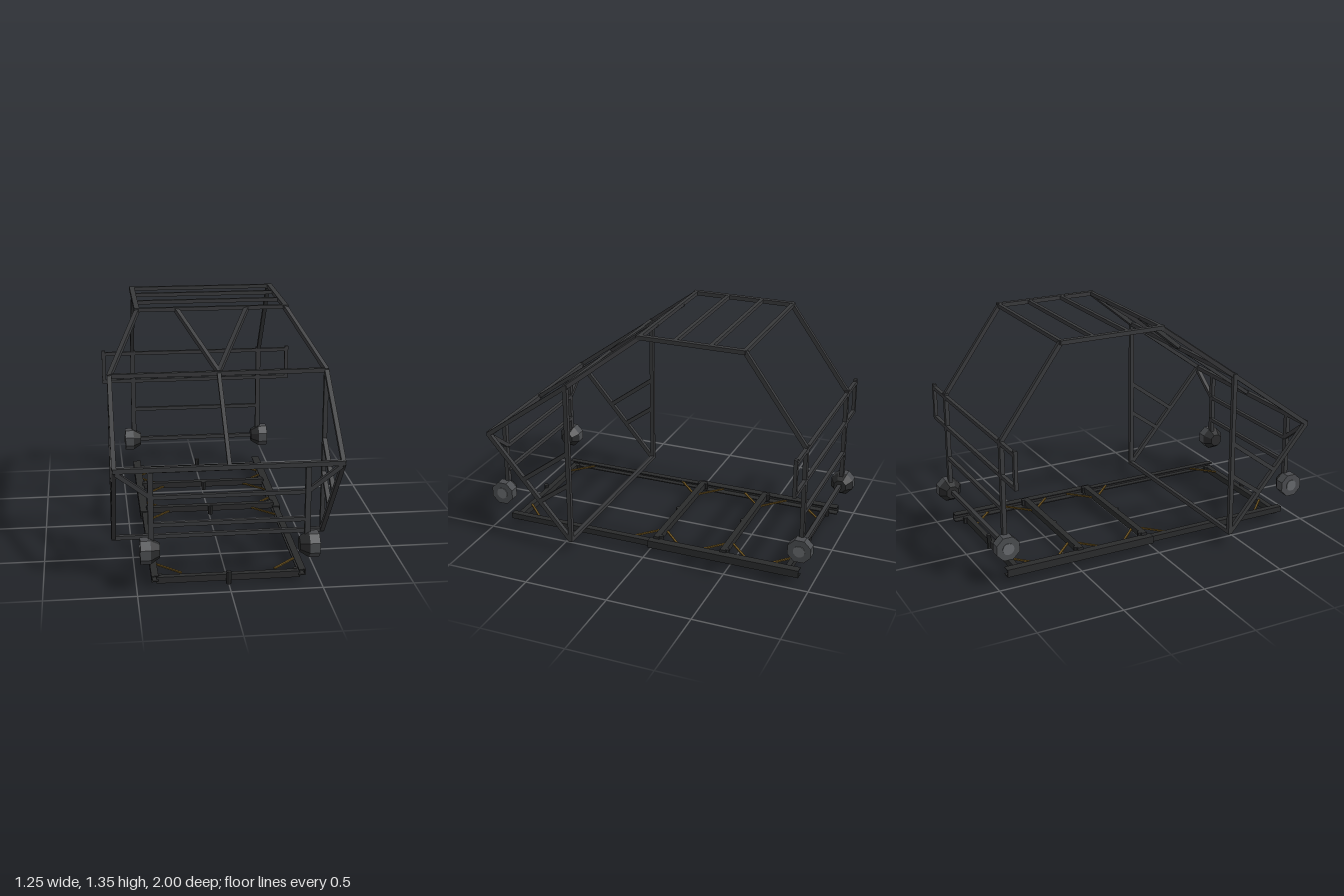
import * as THREE from 'three';

const mat = (name, color, side = THREE.FrontSide) => {
  const m = new THREE.MeshStandardMaterial({ color, flatShading: true, side });
  m.name = name;
  return m;
};

export function createModel() {
  const model = new THREE.Group();
  const tubeMat = mat('dark steel tube', 0x38393b);
  const baseMat = mat('black chassis steel', 0x2a2b2c);
  const hubMat = mat('grey hub', 0x4a4c4f);
  const capMat = mat('light hub cap', 0x66696c);
  const goldMat = mat('bronze brace', 0x6b5220);

  const group = (name) => {
    const g = new THREE.Group();
    g.name = name;
    model.add(g);
    return g;
  };

  // Square bar running between two points
  function bar(parent, name, a, b, w = 0.025, h = w, m = tubeMat) {
    const p = new THREE.Vector3(...a), q = new THREE.Vector3(...b);
    const mesh = new THREE.Mesh(new THREE.BoxGeometry(w, h, p.distanceTo(q)), m);
    mesh.position.copy(p).add(q).multiplyScalar(0.5);
    mesh.lookAt(q);
    mesh.name = name;
    parent.add(mesh);
  }
  const cross = (parent, name, x, y, z, w = 0.024, h = w, m = tubeMat) =>
    bar(parent, name, [-x, y, z], [x, y, z], w, h, m);

  const cage = group('cage');
  const bumper = group('rearBumper');
  const legs = group('wheelLegs');
  const hubs = group('hubs');
  const chassis = group('chassis');

  for (const s of [-1, 1]) {
    // Main hoop, windscreen pillars and nose
    const X = s * 0.607, R = s * 0.428;
    bar(cage, 'sidePost', [X, 0.078, 0.41], [X, 1.06, 0.41]);
    bar(cage, 'windscreenPillar', [X, 1.05, 0.41], [R, 1.335, 0.035]);
    bar(cage, 'noseRail', [X, 1.05, 0.41], [X, 0.68, 0.92]);
    bar(cage, 'lowerNoseRail', [X, 0.68, 0.92], [X, 0.085, 0.41]);
    bar(cage, 'upperSideBrace', [X, 0.645, 0.41], [X, 0.43, 0.70]);
    bar(cage, 'lowerSideBrace', [X, 0.445, 0.41], [X, 0.31, 0.595]);
    bar(cage, 'windscreenBrace', [s * 0.207, 1.335, 0.03], [0, 1.055, 0.405]);
    // Roof rails and sloping rear pillars
    bar(cage, 'roofRail', [s * 0.432, 1.335, 0.05], [s * 0.432, 1.335, -0.58], 0.03, 0.024);
    bar(cage, 'rearPillar', [s * 0.424, 1.335, -0.572], [s * 0.424, 0.84, -0.93], 0.024);
    // Legs carrying the hubs
    bar(legs, 'frontLeg', [s * 0.42, 0.22, 0.92], [s * 0.42, 0.665, 0.92], 0.03, 0.024);
    bar(legs, 'rearLeg', [s * 0.42, 0.22, -0.93], [s * 0.42, 0.85, -0.93], 0.03, 0.024);
    bar(legs, 'noseGusset', [s * 0.42, 0.528, 0.915], [s * 0.6, 0.665, 0.915], 0.024);
    bar(bumper, 'bumperEnd', [s * 0.612, 0.628, -0.932], [s * 0.612, 0.85, -0.932], 0.024, 0.02);

    // Octagonal hubs with tapered inner ends
    for (const z of [0.932, -0.932]) {
      const hub = new THREE.Group();
      hub.name = 'hub';
      hub.position.set(0, 0.23, z);
      const part = (name, rOut, rIn, x0, x1, n, m) => {
        const g = new THREE.CylinderGeometry(rOut, rIn, x1 - x0, n, 1, false, Math.PI / 8);
        const mesh = new THREE.Mesh(g, m);
        mesh.rotation.z = -s * Math.PI / 2;
        mesh.position.x = s * (x0 + x1) / 2;
        mesh.name = name;
        hub.add(mesh);
      };
      part('hubDrum', 0.0725, 0.0725, 0.425, 0.48, 8, hubMat);
      part('hubTaper', 0.0725, 0.04, 0.375, 0.425, 8, baseMat);
      part('hubCap', 0.034, 0.034, 0.48, 0.484, 12, capMat);
      hubs.add(hub);
    }

    // Chassis rails: inward-facing channels, deeper at the rear
    for (const [z0, z1, y0, y1, xo] of [[0, 0.91, 0.035, 0.07, 0.42], [-0.92, 0, 0.03, 0.075, 0.43]]) {
      const t = 0.006, xi = 0.382, yc = (y0 + y1) / 2;
      bar(chassis, 'railWeb', [s * (xo - t / 2), yc, z0], [s * (xo - t / 2), yc, z1], t, y1 - y0, baseMat);
      for (const y of [y0 + t / 2, y1 - t / 2])
        bar(chassis, 'railFlange', [s * (xo + xi) / 2, y, z0], [s * (xo + xi) / 2, y, z1], xo - xi, t, baseMat);
    }

    // Diagonal corner braces: z at the cross member, direction, height
    for (const [z, d, y] of [[-0.835, 1, 0.05], [-0.47, -1, 0.064], [-0.445, 1, 0.064],
      [-0.05, -1, 0.064], [-0.02, 1, 0.064], [0.86, -1, 0.06]])
      bar(chassis, 'cornerBrace', [s * 0.255, y, z], [s * 0.385, y, z + d * 0.125], 0.012, 0.008, goldMat);
  }

  // Crosswise cage tubes
  cross(cage, 'waistBar', 0.615, 1.05, 0.41);
  cross(cage, 'sillBar', 0.615, 0.088, 0.41);
  cross(cage, 'noseBar', 0.615, 0.68, 0.918, 0.026);
  bar(cage, 'centreNoseBar', [0, 1.05, 0.41], [0, 0.68, 0.918], 0.022);
  for (const z of [0.035, -0.17, -0.38, -0.573]) cross(cage, 'roofBar', 0.44, 1.335, z, 0.022);
  for (const y of [0.828, 0.64]) cross(bumper, 'bumperBar', 0.62, y, -0.932, 0.022);
  for (const y of [0.525, 0.37]) cross(legs, 'frontLegBar', 0.42, y, 0.915, 0.022);
  cross(legs, 'rearLegBar', 0.42, 0.442, -0.93, 0.022);
  cross(legs, 'rearAxleBar', 0.4, 0.232, -0.93, 0.024);

  // Chassis cross members, each with a centre pin and end bolts
  for (const [z, y, h, w, pz, y0, y1] of [
    [0.875, 0.035, 0.036, 0.034, 0.895, 0, 0.072],
    [-0.04, 0.072, 0.036, 0.036, -0.02, 0.035, 0.088],
    [-0.455, 0.072, 0.036, 0.036, -0.437, 0.035, 0.088],
    [-0.84, 0.035, 0.04, 0.03, -0.857, 0.01, 0.096]]) {
    cross(chassis, 'crossMember', 0.392, y, z, w, h, baseMat);
    for (const [x, zz, a, b] of [[0, pz, y0, y1],
      [-0.372, z - 0.022, y - 0.018, y + 0.02], [0.372, z - 0.022, y - 0.018, y + 0.02]]) {
      const pin = new THREE.Mesh(new THREE.CylinderGeometry(0.014, 0.014, b - a, 8), baseMat);
      pin.position.set(x, (a + b) / 2, zz);
      pin.name = x ? 'bolt' : 'centrePin';
      chassis.add(pin);
    }
  }
  return model;
}
